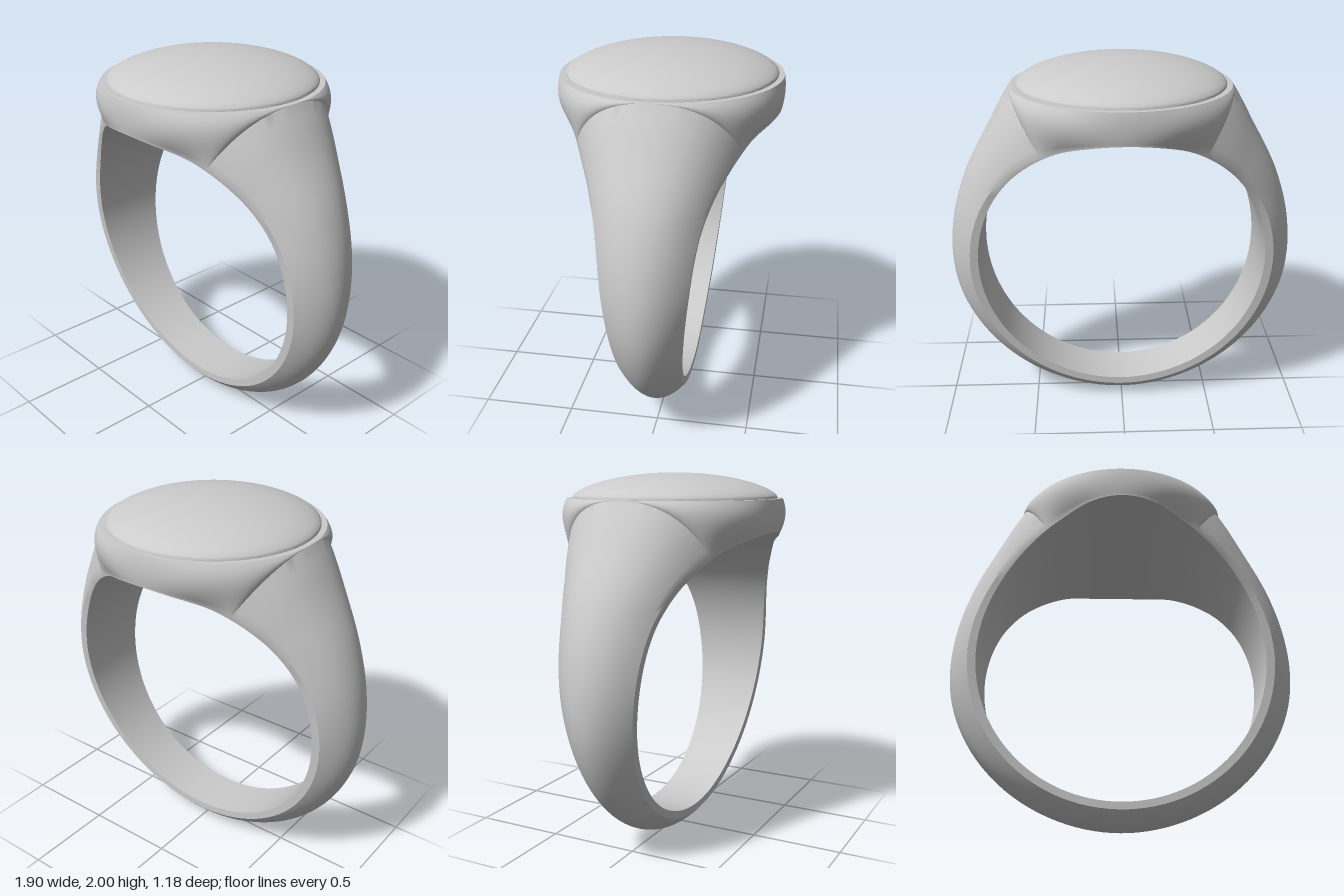
import * as THREE from 'three';
import { toCreasedNormals } from 'three/addons/utils/BufferGeometryUtils.js';

const CENTRE_Y = 0.91, HOLE_R = 0.785;      // finger hole
const TABLE_R = 0.585, TABLE_H = 0.955;     // flat round top, height above hole centre
const lerp = THREE.MathUtils.lerp;

// Smooth curve through [degrees, value] pairs, flat at both ends
function smoothTable(p) {
  const slope = p.map((_, i) => (i === 0 || i === p.length - 1) ? 0
    : (p[i + 1][1] - p[i - 1][1]) / (p[i + 1][0] - p[i - 1][0]));
  return (deg) => {
    let i = 0;
    while (i < p.length - 2 && deg > p[i + 1][0]) i++;
    const h = p[i + 1][0] - p[i][0];
    const t = THREE.MathUtils.clamp((deg - p[i][0]) / h, 0, 1), t2 = t * t, t3 = t2 * t;
    return (2 * t3 - 3 * t2 + 1) * p[i][1] + (t3 - 2 * t2 + t) * h * slope[i]
      + (3 * t2 - 2 * t3) * p[i + 1][1] + (t3 - t2) * h * slope[i + 1];
  };
}

// Dimensions by angle from the top of the ring
const halfWidth = smoothTable([[0, 0.58], [12, 0.55], [25, 0.455], [31.5, 0.415], [40, 0.365],
  [50, 0.31], [65, 0.253], [90, 0.21], [120, 0.17], [150, 0.145], [180, 0.14]]);
const outerRadius = smoothTable([[20, 1.24], [31.5, 1.12], [45, 1.018], [63, 0.968], [78, 0.952],
  [90, 0.95], [102, 0.949], [118, 0.937], [135, 0.923], [155, 0.912], [180, 0.91]]);
const bandWidth = smoothTable([[0, 0], [25, 0.01], [45, 0.03], [90, 0.045], [180, 0.04]]);
const fullness = smoothTable([[0, 0.75], [31.5, 0.75], [60, 0.6], [90, 0.5], [180, 0.5]]);

const STEPS = 14;

// Cross-section as [radius, z] from the front hole edge over the outside to the back one
function section(phi, tableZ) {
  const deg = Math.abs(phi) * 180 / Math.PI;
  const w = halfWidth(deg), rA = HOLE_R + bandWidth(deg);
  const onTable = tableZ !== null;
  const rB = onTable ? TABLE_H / Math.cos(phi) : outerRadius(deg);
  const zB = onTable ? tableZ : 0;
  const u = zB / TABLE_R;
  const rC = lerp(rA, rB, lerp(1, 0.5, u)), zC = lerp(fullness(deg) * w, 0.6, u);
  const half = [[HOLE_R, w]];
  for (let s = 0; s <= STEPS; s++) {
    const t = s / STEPS, a = (1 - t) * (1 - t), b = 2 * t * (1 - t), c = t * t;
    half.push([a * rA + b * rC + c * rB, a * w + b * zC + c * zB]);
  }
  return half.concat(half.slice().reverse().map(([r, z]) => [r, -z]));
}

function bandGeometry() {
  const rings = [];
  const add = (phi, tableZ) => rings.push(section(phi, tableZ).map(([r, z]) =>
    new THREE.Vector3(r * Math.sin(phi), CENTRE_Y + r * Math.cos(phi), z)));

  // Crown sections follow the round table edge
  const crown = 64;
  for (let i = 0; i <= crown; i++) {
    const a = (i / crown - 0.5) * Math.PI;
    const end = i === 0 || i === crown;
    add(Math.atan(TABLE_R * Math.sin(a) / TABLE_H), end ? 0 : TABLE_R * Math.cos(a));
  }
  // Shoulders and shank
  const start = Math.atan(TABLE_R / TABLE_H), shank = 100;
  for (let i = 1; i < shank; i++) {
    const phi = lerp(start, 2 * Math.PI - start, i / shank);
    add(phi > Math.PI ? phi - 2 * Math.PI : phi, null);
  }

  // Join neighbouring sections, skipping collapsed triangles
  const pos = [], tri = new THREE.Triangle();
  const face = (a, b, c) => {
    if (tri.set(a, b, c).getArea() > 1e-8) pos.push(...a, ...b, ...c);
  };
  rings.forEach((ring, i) => {
    const next = rings[(i + 1) % rings.length], m = ring.length;
    for (let j = 0; j < m; j++) {
      const k = (j + 1) % m;
      face(ring[j], next[j], ring[k]);
      face(next[j], next[k], ring[k]);
    }
  });
  const geo = new THREE.BufferGeometry();
  geo.setAttribute('position', new THREE.Float32BufferAttribute(pos, 3));
  return toCreasedNormals(geo, 0.6);
}

// Shallow domed face set on the table
function domeGeometry() {
  const pts = [new THREE.Vector2(0.555, 1.855)];
  const n = 24;
  for (let i = 0; i <= n; i++) {
    const a = (i / n) * Math.PI / 2;
    const x = i === n ? 0 : 0.555 * Math.cos(a);
    pts.push(new THREE.Vector2(x, 1.872 + 0.128 * Math.pow(Math.sin(a), 1.3)));
  }
  return toCreasedNormals(new THREE.LatheGeometry(pts, 96), 0.6);
}

export function createModel() {
  const group = new THREE.Group();
  group.name = 'signetRing';
  const material = new THREE.MeshStandardMaterial({ color: 0xcccccc });
  const addPart = (name, geometry) => {
    const mesh = new THREE.Mesh(geometry, material);
    mesh.name = name;
    group.add(mesh);
  };
  addPart('ringBand', bandGeometry());
  addPart('domedFace', domeGeometry());
  return group;
}
